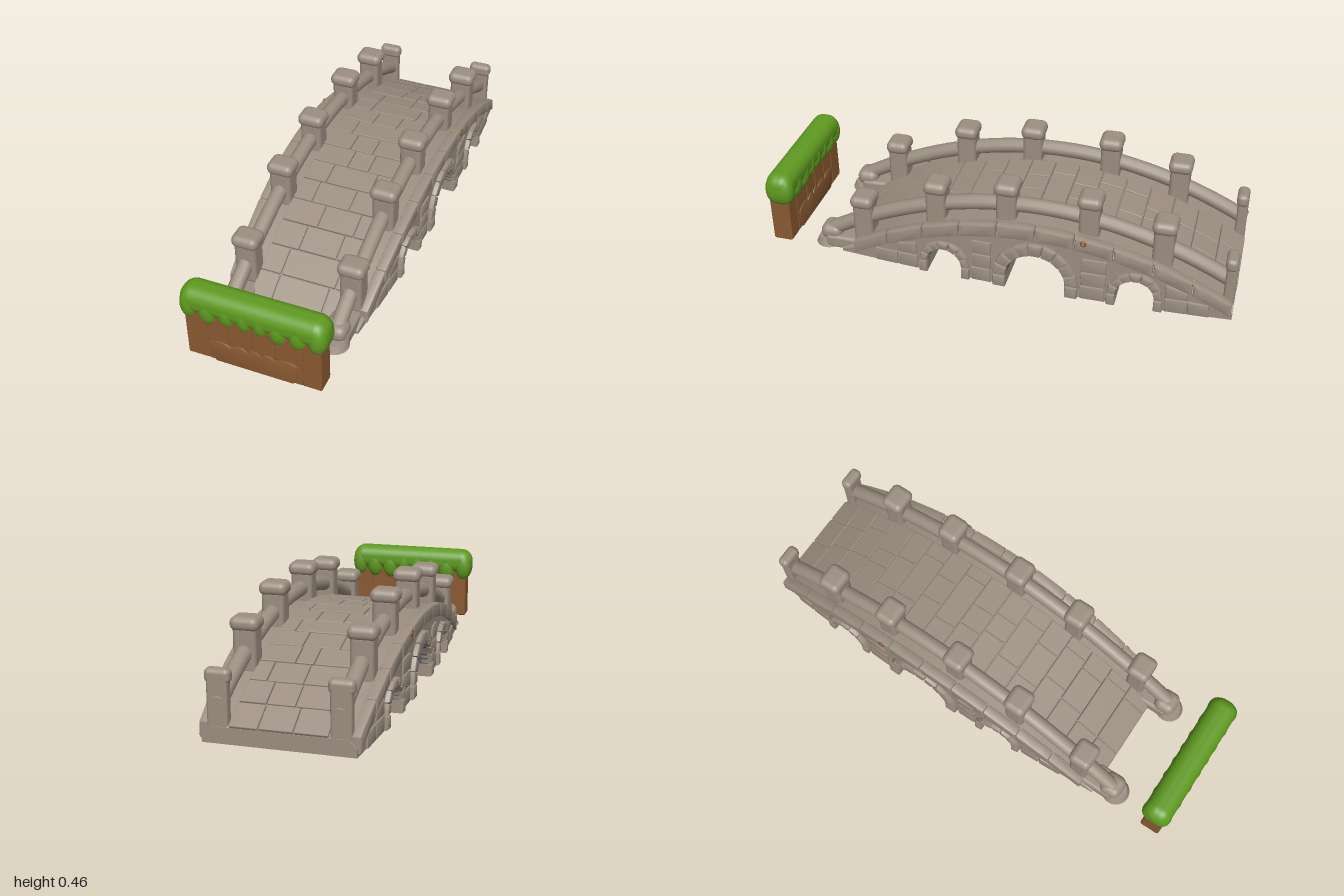
import * as THREE from 'three';
import { toCreasedNormals } from 'three/addons/utils/BufferGeometryUtils.js';
import { RoundedBoxGeometry } from 'three/addons/geometries/RoundedBoxGeometry.js';

const mat = (name, color) => Object.assign(new THREE.MeshStandardMaterial({ color }), { name });

// Rules of the bridge: centre line, half width, deck height and rail height along z
const MID = -0.2, SPRING = 0.055;
const cx = z => -0.0105 - 0.0186 * z;
const halfWidth = z => 0.316 - 0.045 * (z - MID) ** 2;
const deckY = z => 0.3 - 0.37 * (z - MID) ** 2;
const railY = z => 0.353 - 0.33 * (z - MID) ** 2;
const arches = [
  { z: 0.19, r: 0.075, w: 0.035, n: 7 },
  { z: -0.2, r: 0.125, w: 0.052, n: 9 },
  { z: -0.61, r: 0.078, w: 0.035, n: 7 },
];

export function createModel() {
  const stone = mat('stone', 0x9c8e81);
  const slate = mat('dark slate', 0x4c5c6e);
  const grass = mat('grass green', 0x5f9a20);
  const earth = mat('earth brown', 0x8a5a32);

  const model = new THREE.Group();
  const group = (name, parent = model) => {
    const g = new THREE.Group();
    g.name = name;
    parent.add(g);
    return g;
  };
  const add = (parent, name, geo, material, x = 0, y = 0, z = 0) => {
    const m = new THREE.Mesh(geo, material);
    m.name = name;
    m.position.set(x, y, z);
    parent.add(m);
    return m;
  };
  let seed = 7;
  const rand = () => (seed = (seed * 16807) % 2147483647) / 2147483647;

  const bridge = group('bridge');

  // Core: cross-sections lofted along z, with the arches cut into the underside
  const columns = [];
  let from = 0.66;
  const solid = to => {
    for (let i = 0; i <= 10; i++) columns.push([from + (to - from) * i / 10, 0]);
  };
  for (const a of arches) {
    solid(a.z + a.r);
    for (let i = 0; i <= 24; i++) {
      const t = Math.PI * i / 24;
      columns.push([a.z + a.r * Math.cos(t), SPRING + a.r * Math.sin(t)]);
    }
    from = a.z - a.r;
  }
  solid(-1);
  const section = ([z, b]) => {
    const c = cx(z), w = halfWidth(z), t = deckY(z), m = t - Math.min(0.05, t * 0.5);
    return [[c - w, b, z], [c + w, b, z], [c + w, m, z], [c + w - 0.03, t, z], [c - w + 0.03, t, z], [c - w, m, z]];
  };
  const rings = columns.map(section), body = [], vault = [];
  for (let i = 0; i < rings.length - 1; i++) {
    const p = rings[i], q = rings[i + 1];
    for (let k = 0; k < 6; k++) {
      const l = (k + 1) % 6;
      const inVault = k === 0 && columns[i][1] >= SPRING && columns[i + 1][1] >= SPRING;
      (inVault ? vault : body).push(p[k], q[k], p[l], p[l], q[k], q[l]);
    }
  }
  const first = rings[0], last = rings[rings.length - 1];
  for (let k = 1; k < 5; k++) body.push(first[0], first[k], first[k + 1], last[0], last[k + 1], last[k]);
  const triangles = list => {
    const g = new THREE.BufferGeometry();
    g.setAttribute('position', new THREE.Float32BufferAttribute(list.flat(), 3));
    return toCreasedNormals(g, 0.5);
  };
  add(bridge, 'bridgeCore', triangles(body), stone);
  add(bridge, 'archVaults', triangles(vault), slate);

  // A bevelled stone on a side wall, drawn as [z, y] corners and fitted to the wall's curve
  const wallStone = (parent, name, side, corners, out) => {
    const shape = new THREE.Shape(corners.map(([z, y]) => new THREE.Vector2(-side * z, y)));
    const bevel = Math.min(0.008, out * 0.8);
    const g = new THREE.ExtrudeGeometry(shape, {
      depth: 0.025 + out - bevel, bevelThickness: bevel, bevelSize: bevel, bevelOffset: -bevel, bevelSegments: 2,
    });
    const p = g.attributes.position;
    for (let i = 0; i < p.count; i++) {
      const z = -side * p.getX(i);
      p.setXYZ(i, cx(z) + side * (halfWidth(z) - 0.025 + p.getZ(i)), p.getY(i), z);
    }
    g.computeVertexNormals();
    add(parent, name, toCreasedNormals(g, 0.6), stone);
  };

  for (const side of [1, -1]) {
    const wall = group(side > 0 ? 'leftWall' : 'rightWall', bridge);

    // Arch rings: wedge stones over two straight legs
    for (const a of arches) {
      const at = (r, t) => [a.z + r * Math.cos(t), SPRING + r * Math.sin(t)];
      for (let i = 0; i < a.n; i++) {
        const t0 = Math.PI * (i + 0.03) / a.n, t1 = Math.PI * (i + 0.97) / a.n, tm = (t0 + t1) / 2;
        const R = a.r + a.w * (0.94 + 0.12 * rand());
        wallStone(wall, 'archStone', side,
          [at(a.r, t0), at(R, t0), at(R, tm), at(R, t1), at(a.r, t1), at(a.r, tm)], 0.02);
      }
      for (const s of [1, -1]) {
        const i = a.z + s * a.r, o = a.z + s * (a.r + a.w);
        wallStone(wall, 'archLeg', side, [[i, 0], [o, 0], [o, SPRING - 0.002], [i, SPRING - 0.002]], 0.02);
      }
    }

    // Long coping stones following the deck edge
    for (let i = 0; i < 10; i++) {
      const z0 = 0.6 - i * 0.16 + 0.002, z1 = Math.max(z0 - 0.156, -0.998), pts = [];
      for (let j = 0; j <= 4; j++) { const z = z0 + (z1 - z0) * j / 4; pts.push([z, deckY(z) + 0.008]); }
      for (let j = 4; j >= 0; j--) { const z = z0 + (z1 - z0) * j / 4; pts.push([z, Math.max(0, deckY(z) - 0.052)]); }
      wallStone(wall, 'copingStone', side, pts, 0.012);
    }

    // Rubble between the arches and at both ends
    const fills = [[0.5, 0.4], [0.395, 0.31], [0.07, -0.012], [-0.388, -0.49], [-0.73, -0.82], [-0.825, -0.91]];
    for (const [z0, z1] of fills) {
      for (let y = 0; y < 0.2; y += 0.068) {
        const top = z => Math.min(y + 0.064, deckY(z) - 0.056);
        const j = (rand() - 0.5) * 0.01;
        if (Math.min(top(z0), top(z1)) - y > 0.022)
          wallStone(wall, 'wallStone', side, [[z0, y], [z1, y], [z1 + j, top(z1)], [z0 + j, top(z0)]], 0.008);
      }
    }

    // Handrail
    const rail = group(side > 0 ? 'leftRailing' : 'rightRailing', bridge);
    const path = [];
    for (let i = 0; i <= 20; i++) {
      const z = 0.72 - 1.71 * i / 20;
      path.push(new THREE.Vector3(cx(z) + side * 0.225, railY(z), z));
    }
    add(rail, 'handrail', new THREE.TubeGeometry(new THREE.CatmullRomCurve3(path), 50, 0.032, 12), stone);

    // Posts with rounded caps: [z, top]
    for (const [z, top] of [[0.565, 0.28], [0.238, 0.41], [-0.062, 0.458], [-0.403, 0.456], [-0.703, 0.395]]) {
      const x = cx(z) + side * 0.225, base = deckY(z) - 0.03, h = top - 0.035 - base;
      add(rail, 'post', new RoundedBoxGeometry(0.092, h, 0.084, 3, 0.018), stone, x, base + h / 2, z);
      add(rail, 'postCap', new RoundedBoxGeometry(0.114, 0.056, 0.1, 4, 0.026), stone, x, top - 0.028, z);
    }
    const xe = cx(-0.98) + side * 0.228;
    add(rail, 'endPost', new RoundedBoxGeometry(0.08, 0.24, 0.044, 3, 0.012), stone, xe, 0.14, -0.977);
    add(rail, 'endPostCap', new RoundedBoxGeometry(0.098, 0.056, 0.05, 4, 0.02), stone, xe, 0.248, -0.974);

    // Low rounded foot at the front of the railing
    const xf = cx(0.72) + side * 0.22;
    add(rail, 'railingFoot', new THREE.CylinderGeometry(0.046, 0.06, 0.03, 24), stone, xf, 0.015, 0.74);
    add(rail, 'footBlock', new RoundedBoxGeometry(0.11, 0.06, 0.16, 3, 0.015), stone, xf, 0.03, 0.66);
    add(rail, 'footCap', new RoundedBoxGeometry(0.1, 0.07, 0.095, 4, 0.032), stone, xf, 0.065, 0.72);

    // Small ring peg on the wall
    const zp = -0.395;
    add(wall, 'wallPeg', new THREE.TorusGeometry(0.009, 0.005, 8, 14), earth,
      cx(zp) + side * 0.327, 0.28, zp).rotation.y = Math.PI / 2;
  }

  // Deck paving in staggered rows
  const paving = group('paving', bridge);
  for (let i = 0; i < 16; i++) {
    const z = 0.605 - i * 0.1037, slope = -0.74 * (z - MID), len = 0.1 * Math.hypot(1, slope);
    const cuts = [-0.185, -0.1 + 0.08 * rand(), 0.04 + 0.1 * rand(), 0.185];
    for (let k = 0; k < 3; k++) {
      const w = cuts[k + 1] - cuts[k] - 0.004;
      add(paving, 'pavingSlab', new RoundedBoxGeometry(w, 0.016, len, 1, 0.003), stone,
        cx(z) + (cuts[k] + cuts[k + 1]) / 2, deckY(z) + 0.001 + 0.002 * rand(), z).rotation.x = -Math.atan(slope);
    }
  }

  // Earth block in front of the bridge
  const block = group('grassBlock');
  const zc = 0.941;
  add(block, 'earthBody', new RoundedBoxGeometry(0.552, 0.26, 0.08, 2, 0.006), earth, -0.028, 0.13, zc);
  const clod = new THREE.Shape();
  clod.moveTo(-0.185, 0);
  clod.quadraticCurveTo(-0.215, 0.05, -0.212, 0.09);
  const bumps = [-0.212, -0.12, -0.05, 0.005, 0.06, 0.155];
  for (let i = 1; i < bumps.length; i++)
    clod.quadraticCurveTo((bumps[i] + bumps[i - 1]) / 2, 0.125, bumps[i], 0.092);
  clod.quadraticCurveTo(0.16, 0.05, 0.135, 0);
  const clodGeo = new THREE.ExtrudeGeometry(clod, {
    depth: 0.084, bevelThickness: 0.005, bevelSize: 0.006, bevelOffset: -0.006, bevelSegments: 2, curveSegments: 6,
  });
  add(block, 'earthClod', toCreasedNormals(clodGeo, 0.6), earth, 0, 0, zc - 0.042);
  const joints = [-0.304, -0.215, -0.13, -0.03, 0.06, 0.17, 0.248];
  for (let i = 0; i < 6; i++) {
    const w = joints[i + 1] - joints[i] - 0.002;
    add(block, 'earthColumn', new RoundedBoxGeometry(w, 0.24, 0.086, 2, 0.006), earth,
      (joints[i] + joints[i + 1]) / 2, 0.122, zc);
  }

  // Grass: a rounded cap, slightly domed, with hanging lobes
  const cap = new RoundedBoxGeometry(0.596, 0.115, 0.118, 8, 0.05);
  const cp = cap.attributes.position;
  for (let i = 0; i < cp.count; i++)
    cp.setY(i, cp.getY(i) + 0.012 * (1 - (cp.getX(i) / 0.298) ** 2));
  add(block, 'grassCap', cap, grass, -0.03, 0.265, 0.937);
  const lobe = new THREE.SphereGeometry(1, 28, 20), lp = lobe.attributes.position;
  for (let i = 0; i < lp.count; i++)
    lp.setZ(i, Math.sign(lp.getZ(i)) * Math.abs(lp.getZ(i)) ** 0.6);
  lobe.computeVertexNormals();
  for (const [x, w, low] of [[-0.288, 0.04, 0.178], [-0.208, 0.046, 0.168], [-0.13, 0.04, 0.178], [-0.06, 0.039, 0.18],
    [0.006, 0.037, 0.18], [0.076, 0.045, 0.167], [0.155, 0.045, 0.17], [0.229, 0.041, 0.178]])
    add(block, 'grassLobe', lobe, grass, x, low + 0.07, 0.937).scale.set(w, 0.07, 0.0625);

  return model;
}
